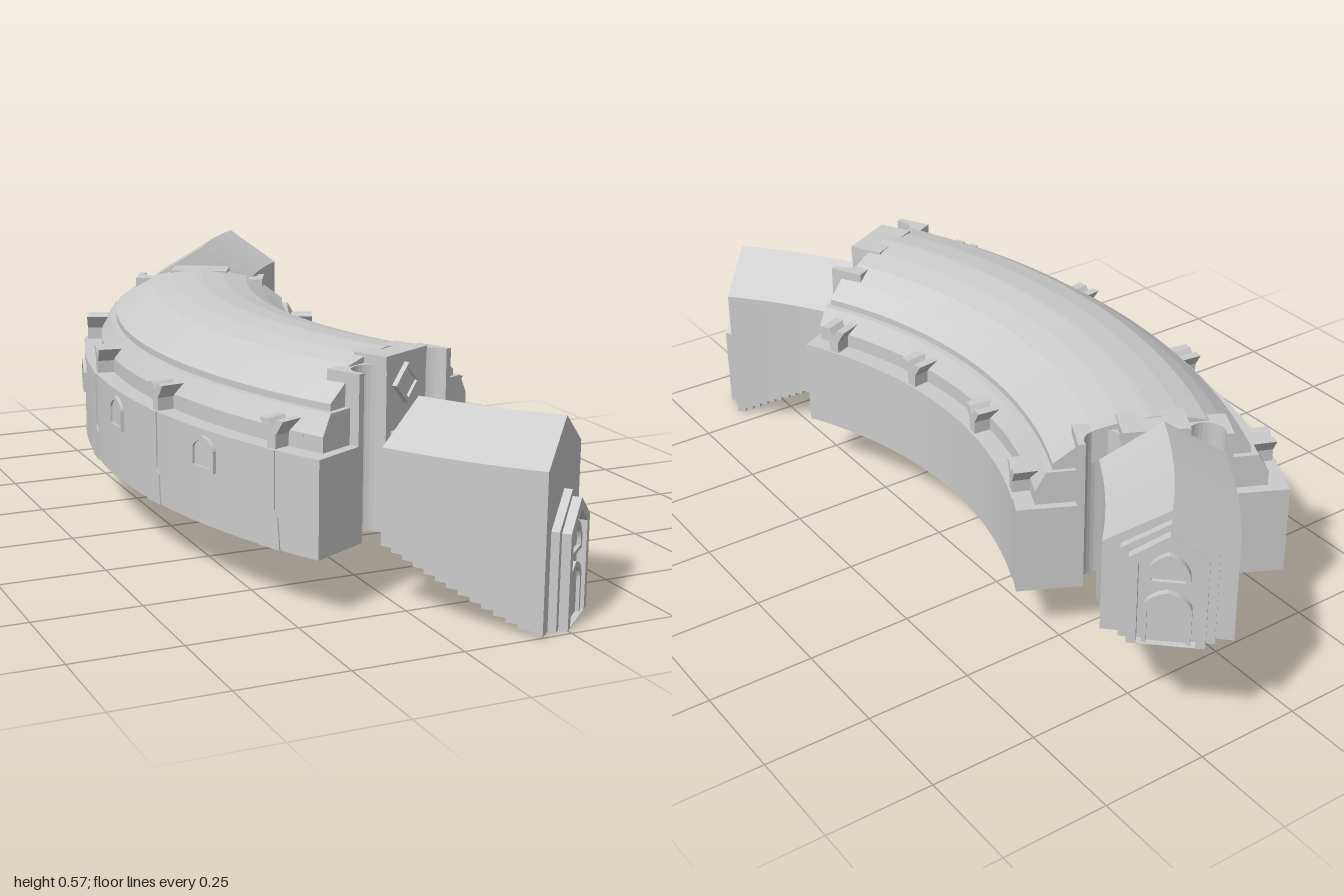
import * as THREE from 'three';
import { mergeGeometries } from 'three/addons/utils/BufferGeometryUtils.js';

const CX = 1.23, MID = 1.305, BASE = 0.135;      // arc centre, mid radius, hall floor
const RAD = Math.PI / 180, END = 27.3, FAR = 43.6;  // degrees along the arc
const mat = new THREE.MeshStandardMaterial({ color: 0xcccccc, side: THREE.DoubleSide });

const polar = (r, deg, y) =>
  new THREE.Vector3(CX - r * Math.cos(deg * RAD), y, r * Math.sin(deg * RAD));

// Sweeps a closed counter-clockwise (radius, height) section along the arc
function sweep(section, from, to, segs) {
  const pos = [], idx = [], n = section.length;
  section.forEach((a, k) => {
    const b = section[(k + 1) % n], o = pos.length / 3;
    for (let i = 0; i <= segs; i++) {
      const t = from + (to - from) * i / segs;
      pos.push(...polar(a[0], t, a[1]), ...polar(b[0], t, b[1]));
      if (i < segs) {
        const q = o + i * 2;
        idx.push(q, q + 2, q + 3, q, q + 3, q + 1);
      }
    }
  });
  const tris = THREE.ShapeUtils.triangulateShape(section.map(p => new THREE.Vector2(...p)), []);
  [from, to].forEach((t, e) => {
    const o = pos.length / 3;
    section.forEach(p => pos.push(...polar(p[0], t, p[1])));
    tris.forEach(([a, b, c]) => idx.push(o + a, o + (e ? c : b), o + (e ? b : c)));
  });
  const g = new THREE.BufferGeometry();
  g.setAttribute('position', new THREE.Float32BufferAttribute(pos, 3));
  g.setIndex(idx);
  g.computeVertexNormals();
  return g;
}

// Turns a geometry so its +z faces the given horizontal normal, then moves it
const face = (g, p, nx, nz) => g.rotateY(Math.atan2(nx, nz)).translate(p.x, p.y, p.z);
// Faces along the arc, outward at either end
const faceEnd = (g, s, r, deg, y) =>
  face(g, polar(r, s * deg, y), Math.sin(deg * RAD), s * Math.cos(deg * RAD));
// Faces away from (dir 1) or towards (dir -1) the arc centre
const faceWall = (g, dir, r, deg, y) =>
  face(g, polar(r, deg, y), -dir * Math.cos(deg * RAD), dir * Math.sin(deg * RAD));

const poly = pts => new THREE.Shape(pts.map(p => new THREE.Vector2(...p)));
const gable = (w, eave, top, y = 0) => poly([[-w, y], [w, y], [w, eave], [0, top], [-w, eave]]);
const diamond = (w, h) => poly([[0, -h], [w, 0], [0, h], [-w, 0]]);
function arch(w, spring, top, y = 0) {
  const s = new THREE.Shape();
  s.moveTo(-w, y).lineTo(w, y).lineTo(w, spring);
  s.quadraticCurveTo(w * 0.85, top - (top - spring) * 0.25, 0, top);
  s.quadraticCurveTo(-w * 0.85, top - (top - spring) * 0.25, -w, spring);
  return s;
}
function extrude(shape, depth, z = 0, hole) {
  if (hole) shape.holes.push(hole);
  return new THREE.ExtrudeGeometry(shape, { depth, bevelEnabled: false, curveSegments: 8 }).translate(0, 0, z);
}

// Floor plan of an end wall with two round vertical flutes
function flutedPlan(w, y0, y1) {
  const s = new THREE.Shape(), R = 0.042, tc = -0.012, a = Math.asin(-tc / R);
  s.moveTo(-w, -0.085).lineTo(w, -0.085).lineTo(w, 0);
  for (const c of [0.113, -0.113]) {
    s.lineTo(c + R * Math.cos(a), 0);
    s.absarc(c, tc, R, a, -Math.PI - a, true);
  }
  s.lineTo(-w, 0);
  return extrude(s, y1 - y0).rotateX(Math.PI / 2).translate(0, y1, 0);
}

export function createModel() {
  const root = new THREE.Group();
  const add = (name, geo, parent = root) => {
    const m = new THREE.Mesh(geo, mat);
    m.name = name;
    parent.add(m);
    return m;
  };
  const mirrorR = pts => pts.map(([r, y]) => [2 * MID - r, y]).reverse();
  const both = half => [...half, ...mirrorR(half)];

  // Curved hall: walls, set-back parapet, vaulted roof
  add('hallWalls', sweep(both([[1.61, BASE], [1.61, 0.35]]), -24.5, 24.5, 40));
  add('parapet', sweep(both([[1.565, 0.345], [1.565, 0.385], [1.54, 0.43]]), -24.5, 24.5, 40));
  add('roof', sweep(both([[1.525, 0.425], [1.525, 0.445], [1.475, 0.482], [1.43, 0.508], [1.37, 0.522], [1.31, 0.528]]),
    -24.9, 24.9, 40));

  // Corbels standing on the ledge, both sides
  const corbel = () => extrude(poly([[-0.012, 0], [0.012, 0], [0.013, 0.03], [0.034, 0.062],
    [0.012, 0.062], [0, 0.045], [-0.012, 0.062], [-0.034, 0.062], [-0.013, 0.03]]), 0.055, -0.055);
  for (const deg of [-22.5, -7.5, 7.5, 22.5]) {
    add('outerCorbel', faceWall(corbel(), 1, 1.605, deg, 0.35));
    add('innerCorbel', faceWall(corbel(), -1, 1.005, deg, 0.35));
    // Shallow pilaster with a flared foot
    add('pilaster', faceWall(extrude(poly([[-0.032, 0], [0.032, 0], [0.026, 0.07], [0.016, 0.085],
      [0.016, 0.215], [-0.016, 0.215], [-0.016, 0.085], [-0.026, 0.07]]), 0.008, -0.005), 1, 1.61, deg, BASE));
  }

  // Arched windows of the outer wall
  for (const deg of [-15, 0, 15]) {
    const w = new THREE.Group();
    w.name = 'wallWindow';
    root.add(w);
    add('windowFrame', faceWall(extrude(arch(0.042, 0.05, 0.078), 0.013, -0.005, arch(0.032, 0.046, 0.068, 0.008)),
      1, 1.61, deg, 0.26), w);
    add('windowPane', faceWall(extrude(arch(0.034, 0.047, 0.07, 0.006), 0.007, -0.004), 1, 1.61, deg, 0.26), w);
  }

  for (const s of [1, -1]) {
    const span = (sec, a, b, n) => s > 0 ? sweep(sec, a, b, n) : sweep(sec, -b, -a, n);

    // Fluted end of the hall
    const end = new THREE.Group();
    end.name = 'hallEnd';
    root.add(end);
    add('endWall', faceEnd(flutedPlan(0.304, BASE, 0.35), s, MID, END, 0), end);
    add('portal', faceEnd(flutedPlan(0.17, 0.35, 0.505), s, MID, END, 0), end);
    add('portalTop', faceEnd(new THREE.BoxGeometry(0.15, 0.03, 0.085).translate(0, 0.511, -0.0425), s, MID, END, 0), end);
    const tier = [[1.475, 0.34], [1.565, 0.34], [1.565, 0.385], [1.54, 0.43], [1.475, 0.43]];
    const eave = [[1.475, 0.42], [1.525, 0.42], [1.525, 0.445], [1.475, 0.482]];
    for (const side of [p => p, mirrorR]) {
      add('cornerParapet', span(side(tier), 24.3, 26.4, 2), end);
      add('cornerRoof', span(side(eave), 24.3, 25.9, 2), end);
    }
    add('diamondFrame', faceEnd(extrude(diamond(0.045, 0.045), 0.012, 0, diamond(0.032, 0.032)), s, MID + 0.008, END, 0.46), end);
    add('diamondPane', faceEnd(extrude(diamond(0.034, 0.034), 0.005), s, MID + 0.008, END, 0.46), end);
    add('neck', span([[1.25, BASE], [1.36, BASE], [1.36, 0.36], [1.25, 0.36]], 27, 29.2, 2), end);

    // Stair wing: one end descends, the other climbs
    const wing = new THREE.Group();
    wing.name = s > 0 ? 'lowerStairWing' : 'upperStairWing';
    root.add(wing);
    const lift = s > 0 ? 0 : 0.135, floor = s > 0 ? 0 : 0.27, N = 14, steps = [];
    for (let i = 0; i < N; i++) {
      const y = BASE - s * BASE * i / (N - 1), d = (FAR - 28.9) / N;
      steps.push(span([[1.175, y], [1.447, y], [1.447, 0.35 + lift], [1.311, 0.435 + lift], [1.175, 0.35 + lift]],
        28.9 + d * i, 28.9 + d * (i + 1), 1));
    }
    add('stairPassage', mergeGeometries(steps), wing);

    // Gabled porch with door and pointed window
    const porch = new THREE.Group();
    porch.name = 'porch';
    wing.add(porch);
    const put = (name, g) => add(name, faceEnd(g, s, 1.311, FAR, floor), porch);
    put('porchBack', extrude(gable(0.098, 0.215, 0.28), 0.02, -0.002));
    put('porchFrame', extrude(gable(0.08, 0.208, 0.265), 0.022, 0.016, gable(0.06, 0.198, 0.242, 0.001)));
    put('doorFrame', extrude(arch(0.05, 0.085, 0.125), 0.016, 0.016, arch(0.04, 0.08, 0.113, 0.001)));
    put('door', extrude(arch(0.042, 0.082, 0.115), 0.008, 0.016));
    put('porchWindowFrame', extrude(arch(0.044, 0.165, 0.215, 0.143), 0.016, 0.016, arch(0.033, 0.165, 0.202, 0.152)));
    put('porchWindow', extrude(arch(0.035, 0.166, 0.204, 0.15), 0.007, 0.016));
  }
  return root;
}
